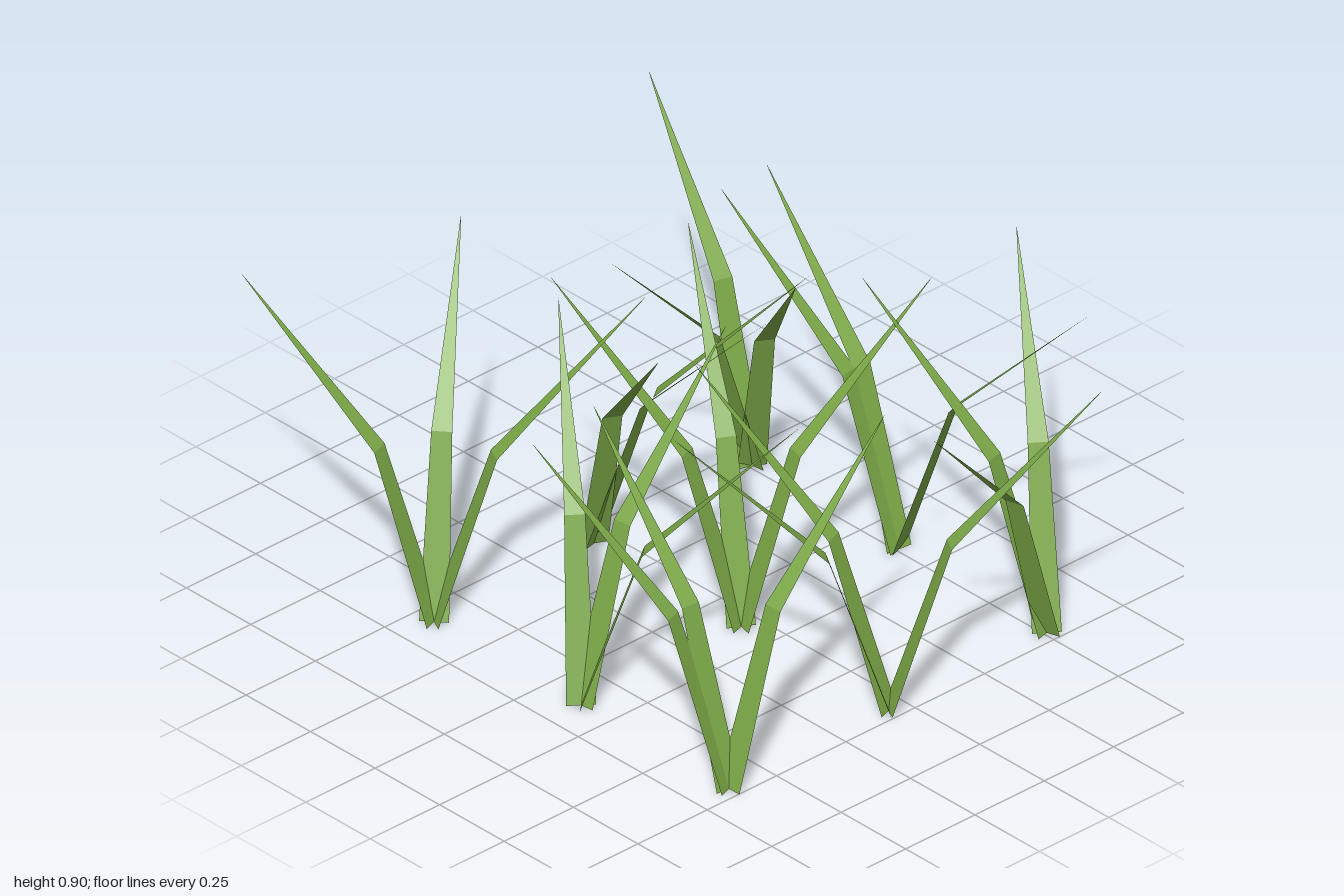
import * as THREE from 'three';

// One flat blade leaning towards +x: two tapering segments with a sharp bend
function bladeGeometry() {
  const sections = [ // reach, height, half width
    [0, 0, 0.04],
    [0.165, 0.49, 0.028],
    [0.58, 0.905, 0.0005],
  ];
  const positions = [];
  const index = [];
  for (const [x, y, w] of sections) positions.push(x, y, -w, x, y, w);
  for (let i = 0; i < sections.length - 1; i++) {
    const a = i * 2;
    index.push(a, a + 1, a + 2, a + 1, a + 3, a + 2);
  }
  const g = new THREE.BufferGeometry();
  g.setAttribute('position', new THREE.Float32BufferAttribute(positions, 3));
  g.setIndex(index);
  const flat = g.toNonIndexed();
  flat.computeVertexNormals();
  return flat;
}

export function createModel() {
  const model = new THREE.Group();
  model.name = 'grassPatch';

  const grassGreen = new THREE.MeshStandardMaterial({ color: 0x7aa646, side: THREE.DoubleSide });
  grassGreen.name = 'grassGreen';
  const blade = bladeGeometry();

  // Lean directions in degrees from +x towards +z, three blades per tuft
  const columns = [-0.43, 0.14, 0.712];
  const rows = [-0.51, 0.06, 0.637];
  const leans = [
    [[195, 31.5, 83], [-18, 186, 169], [215, 166, 74]],
    [[-35, -13, 26], [209, -77, 163], [-61, 161, 123]],
    [[230, -63.5, 162], [217, -96, -40], [-92, 185, 160]],
  ];

  rows.forEach((z, r) => columns.forEach((x, c) => {
    const tuft = new THREE.Group();
    tuft.name = `tuft${r * 3 + c + 1}`;
    tuft.position.set(x, 0, z);
    leans[r][c].forEach((angle, i) => {
      const mesh = new THREE.Mesh(blade, grassGreen);
      mesh.name = `blade${i + 1}`;
      mesh.rotation.y = -THREE.MathUtils.degToRad(angle);
      tuft.add(mesh);
    });
    model.add(tuft);
  }));

  return model;
}
